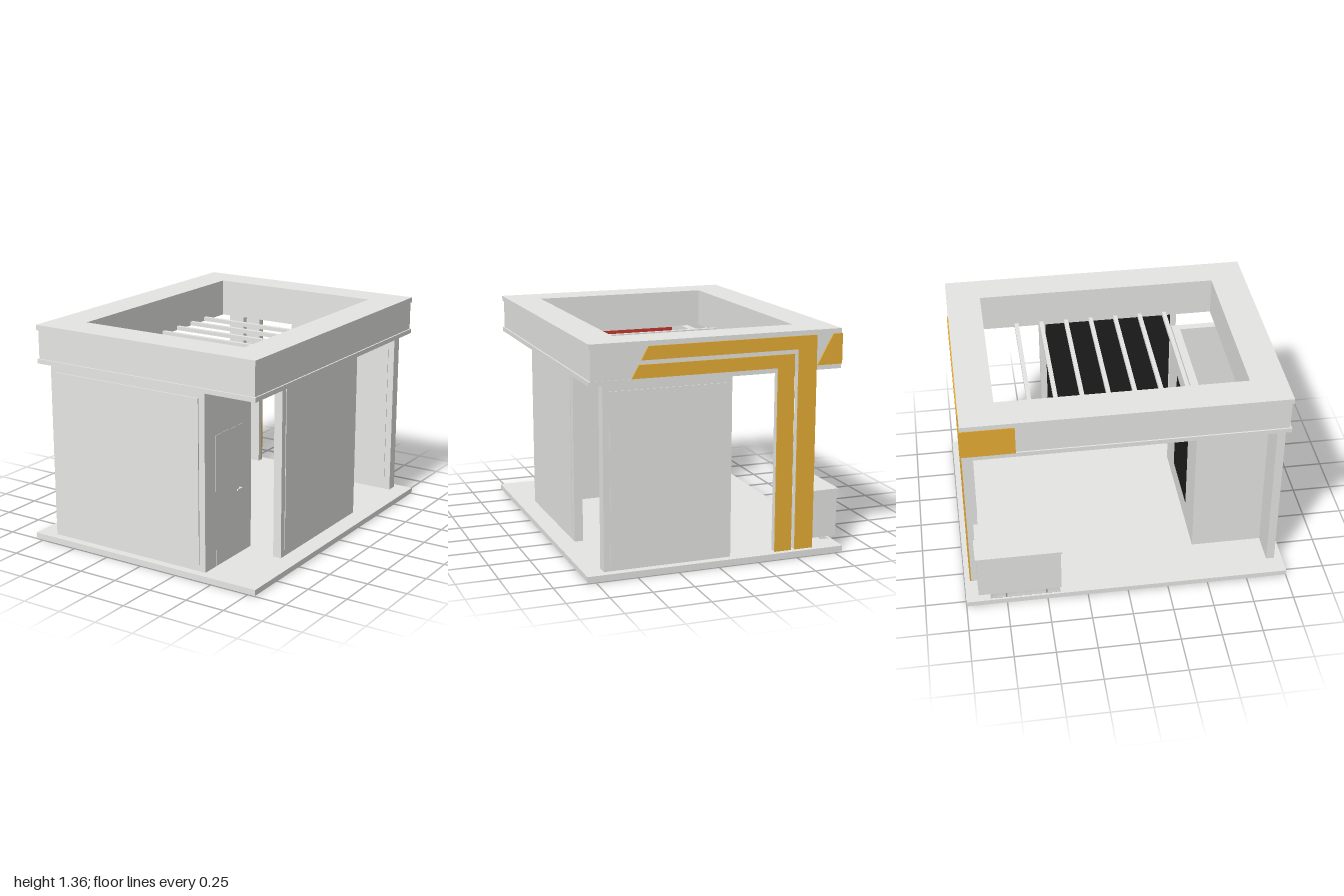
import * as THREE from 'three';

export function createModel() {
  const root = new THREE.Group();
  const mat = (name, color) => {
    const m = new THREE.MeshStandardMaterial({ color });
    m.name = name;
    return m;
  };
  const grey = mat('light grey', 0xe6e6e4);
  const gold = mat('gold', 0xe7ad34);
  const black = mat('black', 0x1e1e1e);
  const red = mat('red', 0xc6362f);

  const add = (name, geometry, material, parent = root) => {
    const m = new THREE.Mesh(geometry, material);
    m.name = name;
    parent.add(m);
    return m;
  };
  // Box given by its limits on each axis
  const box = (name, x0, x1, y0, y1, z0, z1, material = grey, parent = root) => {
    const m = add(name, new THREE.BoxGeometry(x1 - x0, y1 - y0, z1 - z0), material, parent);
    m.position.set((x0 + x1) / 2, (y0 + y1) / 2, (z0 + z1) / 2);
    return m;
  };
  const outline = (pts) => pts.map(([a, b]) => new THREE.Vector2(a, b));
  const rect = (x0, x1, z0, z1) => outline([[x0, -z0], [x1, -z0], [x1, -z1], [x0, -z1]]);
  // Horizontal slab with optional openings, wound against the outline
  const slab = (name, pts, holes, y0, y1) => {
    const s = new THREE.Shape(pts);
    holes.forEach((h) => s.holes.push(new THREE.Path([...h].reverse())));
    const g = new THREE.ExtrudeGeometry(s, { depth: y1 - y0, bevelEnabled: false });
    g.rotateX(-Math.PI / 2);
    g.translate(0, y0, 0);
    return add(name, g, grey);
  };

  // Floor with a rim below and a slot under the counter
  const slot = rect(-0.785, -0.735, -0.85, -0.42);
  slab('floor', rect(-0.8, 0.8, -1, 1), [slot], 0.025, 0.04);
  slab('floorRim', rect(-0.8, 0.8, -1, 1), [rect(-0.787, 0.787, -0.987, 0.987)], 0.007, 0.025);

  // Ribs beneath the floor
  const ribs = new THREE.Group();
  ribs.name = 'floorRibs';
  root.add(ribs);
  for (let i = 0; i <= 4; i++) {
    for (const d of [-0.045, 0.045]) {
      const x = -0.74 + i * 0.37 + d;
      if (x > -0.73) box('longRib', x - 0.009, x + 0.009, 0, 0.025, -0.988, 0.988, grey, ribs);
    }
  }
  for (let i = 0; i <= 6; i++) {
    for (const d of [-0.045, 0.045]) {
      const z = -0.94 + i * (1.88 / 6) + d;
      const end = z > -0.87 && z < -0.4 ? -0.72 : -0.788;
      box('crossRib', end, 0.788, 0, 0.025, z - 0.009, z + 0.009, grey, ribs);
    }
  }

  // Roof ring: recessed fascia between two lips
  const opening = rect(-0.56, 0.56, -0.75, 0.74);
  slab('lowerRoofLip', rect(-0.775, 0.767, -0.96, 0.955), [opening], 1.12, 1.148);
  slab('roofFascia', rect(-0.766, 0.758, -0.958, 0.946), [opening], 1.148, 1.325);
  slab('upperRoofLip', rect(-0.775, 0.767, -0.96, 0.955), [opening], 1.325, 1.357);

  // Beams across the opening
  for (let i = 0; i < 7; i++) {
    const z = -0.527 + i * 0.16;
    box('roofBeam', -0.565, 0.565, 1.121, 1.146, z - 0.013, z + 0.013);
  }

  // Front wall, panelled on both faces
  box('frontWall', -0.675, 0.43, 0.04, 1.12, 0.9, 0.951);
  box('frontWallPanel', -0.635, 0.39, 0.08, 1.085, 0.95, 0.958);
  box('frontWallRedPanel', -0.425, 0.345, 0.08, 1.085, 0.898, 0.901, red);

  // Storage room behind the front wall
  box('storageBackWall', -0.48, 0.43, 0.04, 1.12, 0.46, 0.51);
  box('storageLeftWall', 0.38, 0.43, 0.04, 1.12, 0.51, 0.9);
  box('storageRightWall', -0.48, -0.43, 0.04, 1.12, 0.51, 0.9);
  box('screen', -0.23, 0.18, 0.185, 0.9, 0.4585, 0.461, black);
  box('storageDoor', 0.429, 0.432, 0.045, 0.845, 0.56, 0.84);
  box('doorHandleStem', 0.43, 0.45, 0.449, 0.459, 0.586, 0.596);
  box('doorHandle', 0.442, 0.45, 0.449, 0.459, 0.586, 0.635);

  // Side wall, grey outside and black inside
  box('sideWall', 0.632, 0.685, 0.04, 1.12, -0.375, 0.53);
  box('sideWallPanel', 0.684, 0.689, 0.08, 1.085, -0.335, 0.49);
  box('sideWallBlackPanel', 0.6305, 0.633, 0.08, 1.085, -0.335, 0.49, black);

  // Back wall, panelled on both faces
  box('backWall', -0.09, 0.688, 0.04, 1.12, -0.953, -0.885);
  box('backWallOuterPanel', -0.05, 0.647, 0.08, 1.085, -0.957, -0.952);
  box('backWallInnerPanel', -0.05, 0.647, 0.08, 1.085, -0.886, -0.881);

  // Columns at the open corner
  box('innerColumn', -0.475, -0.37, 0.04, 1.12, -0.958, -0.92);
  box('outerColumn', -0.615, -0.5, 0.04, 1.12, -0.958, -0.92);

  // Gold bands running down the columns and along the back fascia
  const plate = (name, pts) => {
    const g = new THREE.ExtrudeGeometry(new THREE.Shape(outline(pts)), { depth: 0.009, bevelEnabled: false });
    g.translate(0, 0, -0.967);
    add(name, g, gold);
  };
  plate('outerGoldBand', [[0.42, 1.328], [-0.615, 1.328], [-0.615, 0.04], [-0.5, 0.04], [-0.5, 1.25], [0.463, 1.25]]);
  plate('innerGoldBand', [[0.477, 1.225], [-0.475, 1.225], [-0.475, 0.04], [-0.37, 0.04], [-0.37, 1.148], [0.52, 1.148]]);
  plate('goldCorner', [[-0.72, 1.328], [-0.779, 1.328], [-0.779, 1.148], [-0.62, 1.148]]);
  box('goldSidePlate', -0.779, -0.7695, 1.148, 1.328, -0.967, -0.65, gold);

  // L-shaped counter raised above the floor
  const ell = (d) => outline([
    [-0.8 + d, 0.93 - d], [-0.8 + d, 0.405 + d], [-0.68 - d, 0.405 + d],
    [-0.68 - d, 0.805 + d], [-0.49 - d, 0.805 + d], [-0.49 - d, 0.93 - d],
  ]);
  slab('counterBody', ell(0.008), [], 0.083, 0.363);
  slab('counterTop', ell(0), [], 0.363, 0.378);

  return root;
}
